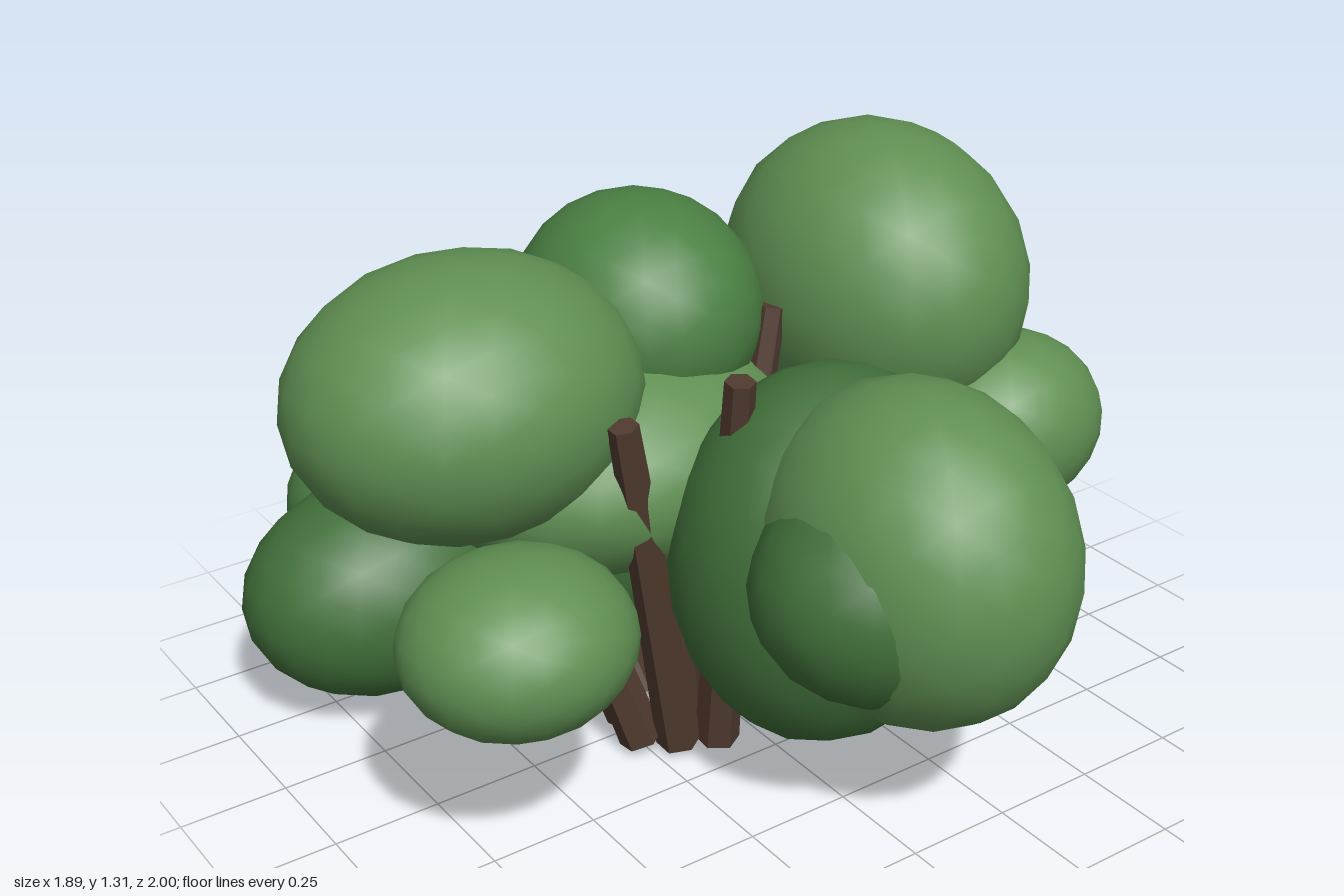
import * as THREE from 'three';

export function createModel() {
  const model = new THREE.Group();
  const mat = (color) => new THREE.MeshStandardMaterial({ color });
  const light = mat(0x5f8f52), mid = mat(0x4b8043), dark = mat(0x41703a);
  const bark = mat(0x4f3a2e);

  // Foliage: smooth low-poly ellipsoids given by centre and radii
  const ball = new THREE.IcosahedronGeometry(1, 3);
  const foliage = new THREE.Group();
  foliage.name = 'foliage';
  const leaf = (name, material, centre, radii) => {
    const mesh = new THREE.Mesh(ball, material);
    mesh.name = name;
    mesh.position.set(...centre);
    mesh.scale.set(...radii);
    foliage.add(mesh);
  };
  leaf('upperRightClump', light, [-0.54, 0.88, -0.16], [0.405, 0.31, 0.35]);
  leaf('upperLeftClump', light, [0.52, 0.94, -0.08], [0.33, 0.365, 0.405]);
  leaf('upperBackClump', mid, [-0.03, 0.93, -0.255], [0.28, 0.27, 0.305]);
  leaf('frontClump', light, [0.075, 0.655, 0.62], [0.315, 0.375, 0.38]);
  leaf('frontWideClump', dark, [0.07, 0.62, 0.63], [0.385, 0.28, 0.29]);
  leaf('lowerFrontClump', dark, [0.07, 0.52, 0.33], [0.36, 0.445, 0.33]);
  leaf('lowerLeftClump', light, [0.62, 0.375, -0.24], [0.325, 0.265, 0.4]);
  leaf('smallLeftClump', light, [0.665, 0.635, 0.225], [0.255, 0.215, 0.22]);
  leaf('smallRightClump', light, [-0.685, 0.54, 0.28], [0.255, 0.19, 0.24]);
  leaf('lowerRightClump', dark, [-0.61, 0.29, -0.48], [0.34, 0.26, 0.265]);
  leaf('rearClump', mid, [-0.44, 0.35, -0.755], [0.26, 0.21, 0.245]);
  leaf('smallBackClump', mid, [-0.23, 0.56, -0.52], [0.22, 0.205, 0.23]);
  leaf('lowerBackClump', dark, [0, 0.4, -0.23], [0.29, 0.29, 0.29]);
  leaf('centreClump', light, [-0.17, 0.66, -0.15], [0.45, 0.26, 0.37]);
  model.add(foliage);

  // Trunk: a bundle of six-sided stems fanning out from the ground
  const trunk = new THREE.Group();
  trunk.name = 'trunk';
  const up = new THREE.Vector3(0, 1, 0);
  const stem = (from, to) => {
    const a = new THREE.Vector3(...from), b = new THREE.Vector3(...to);
    const dir = b.clone().sub(a);
    const mesh = new THREE.Mesh(new THREE.CylinderGeometry(0.034, 0.052, dir.length(), 6), bark.clone());
    mesh.material.flatShading = true;
    mesh.name = 'stem';
    mesh.position.copy(a).add(b).multiplyScalar(0.5);
    mesh.quaternion.setFromUnitVectors(up, dir.normalize());
    trunk.add(mesh);
  };
  stem([-0.19, 0.02, 0.13], [-0.35, 0.885, 0.17]);
  stem([-0.26, 0.025, 0.08], [-0.5, 0.85, -0.05]);
  stem([-0.11, 0.02, 0.17], [-0.13, 0.97, 0.28]);
  stem([-0.03, 0.025, 0.03], [0.19, 0.95, -0.04]);
  stem([-0.02, 0.03, 0.1], [0.3, 0.65, 0.15]);
  stem([-0.06, 0.02, -0.07], [-0.02, 0.9, -0.25]);
  stem([-0.15, 0.02, -0.09], [-0.23, 0.6, -0.4]);
  stem([-0.23, 0.02, -0.02], [-0.4, 0.6, -0.2]);
  stem([-0.14, 0.015, 0.05], [-0.14, 0.75, 0]);
  model.add(trunk);

  return model;
}
